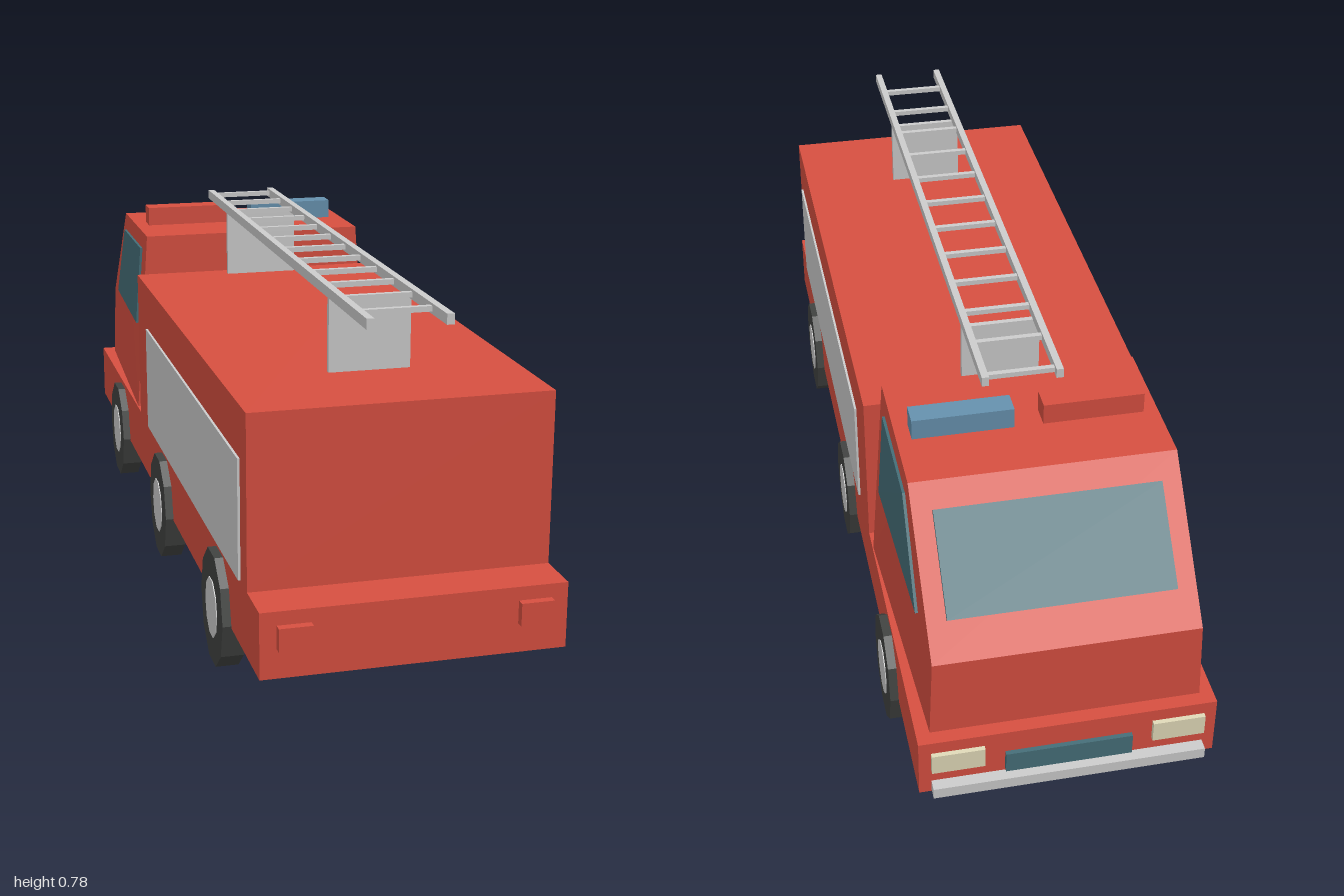
import * as THREE from 'three';

const mat = (color) => new THREE.MeshStandardMaterial({ color, flatShading: true });

// Solid between two x surfaces over a (z, y) outline; the outline runs clockwise seen from +x
function prism(outline, xLow, xHigh) {
  const low = outline.map(([z, y]) => [xLow(z, y), y, z]);
  const high = outline.map(([z, y]) => [xHigh(z, y), y, z]);
  const pos = [];
  const tri = (...corners) => corners.forEach((c) => pos.push(...c));
  outline.forEach((_, i) => {
    const j = (i + 1) % outline.length;
    tri(low[i], high[i], high[j]);
    tri(low[i], high[j], low[j]);
    if (i > 0 && j > 0) {
      tri(low[0], low[i], low[j]);
      tri(high[0], high[j], high[i]);
    }
  });
  const geo = new THREE.BufferGeometry();
  geo.setAttribute('position', new THREE.Float32BufferAttribute(pos, 3));
  geo.computeVertexNormals();
  return geo;
}

// Half width of the cab: leans in towards the roof and again towards the nose
function cabSide(z, y) {
  const nose = Math.max(0, (-0.33 * (y - 0.25) - 0.44 * (z + 0.375)) / 0.1914);
  return 0.303 - 0.073 * (y - 0.25) - 0.02 * nose;
}

export function createModel() {
  const model = new THREE.Group();
  const red = mat(0xd64f40), grey = mat(0xcccccc), glass = mat(0x456e78);
  const black = mat(0x414341), blue = mat(0x6691ae), cream = mat(0xe0d9b8);

  const add = (name, geo, material, parent = model) => {
    const mesh = new THREE.Mesh(geo, material);
    mesh.name = name;
    parent.add(mesh);
    return mesh;
  };
  // Box given by its limits on each axis
  const box = (name, material, [x0, x1], [y0, y1], [z0, z1], parent) => {
    const mesh = add(name, new THREE.BoxGeometry(x1 - x0, y1 - y0, z1 - z0), material, parent);
    mesh.position.set((x0 + x1) / 2, (y0 + y1) / 2, (z0 + z1) / 2);
    return mesh;
  };
  const span = (side, a, b) => (side > 0 ? [a, b] : [-b, -a]);

  // Chassis and equipment body
  box('chassis', red, [-0.305, 0.305], [0.115, 0.25], [-0.975, 0.98]);
  box('equipmentBody', red, [-0.305, 0.305], [0.25, 0.605], [-0.325, 0.88]);

  // Cab with sloping front
  const cabOutline = [[-0.375, 0.25], [-0.375, 0.69], [-0.705, 0.69], [-0.945, 0.43], [-0.945, 0.25]];
  add('cab', prism(cabOutline, (z, y) => -cabSide(z, y), cabSide), red);

  // Windscreen lying on the slope
  const windscreen = add('windscreen', new THREE.BoxGeometry(0.46, 0.012, 0.214), glass);
  windscreen.position.set(0, 0.57, -0.818);
  windscreen.rotation.x = -Math.atan2(0.26, 0.24);

  // Parts on both sides
  const windowOutline = [[-0.435, 0.455], [-0.43, 0.65], [-0.685, 0.65], [-0.82, 0.455]];
  for (const side of [1, -1]) {
    const inner = (z, y) => side * (cabSide(z, y) - 0.01);
    const outer = (z, y) => side * (cabSide(z, y) + 0.006);
    add('sideWindow', side > 0 ? prism(windowOutline, inner, outer) : prism(windowOutline, outer, inner), glass);
    box('sidePanel', grey, span(side, 0.3, 0.31), [0.253, 0.5], [-0.19, 0.825]);
    box('tailLight', red, span(side, 0.205, 0.272), [0.175, 0.222], [0.975, 0.997]);
    box('headlight', cream, span(side, 0.172, 0.28), [0.175, 0.222], [-0.985, -0.97]);
    box('roofBeacon', side > 0 ? blue : red, span(side, 0.03, 0.24), [0.685, 0.735], [-0.57, -0.52]);
  }

  // Grille and bumper
  box('grille', glass, [-0.13, 0.13], [0.15, 0.198], [-0.985, -0.97]);
  box('bumper', grey, [-0.28, 0.28], [0.12, 0.145], [-1, -0.97]);

  // Wheels: ten-sided tyres standing on a flat, with hubs
  const disc = (radius, width) => new THREE.CylinderGeometry(radius, radius, width, 10)
    .rotateZ(Math.PI / 2).scale(1, 1, 0.845);
  for (const z of [-0.615, 0.007, 0.632]) {
    for (const side of [1, -1]) {
      const wheel = new THREE.Group();
      wheel.name = 'wheel';
      wheel.position.set(side * 0.299, 0.119, z);
      add('tyre', disc(0.125, 0.048), black, wheel);
      add('hub', disc(0.0645, 0.012), grey, wheel).position.x = side * 0.02;
      model.add(wheel);
    }
  }

  // Roof ladder on two upright plates
  const ladder = new THREE.Group();
  ladder.name = 'ladder';
  model.add(ladder);
  for (const side of [1, -1]) {
    box('ladderRail', grey, span(side, 0.07, 0.085), [0.756, 0.777], [-0.51, 0.91], ladder);
  }
  for (let i = 0; i < 12; i++) {
    const z = -0.49 + i * 0.119;
    box('ladderRung', grey, [-0.075, 0.075], [0.761, 0.772], [z - 0.006, z + 0.006], ladder);
  }
  for (const z of [-0.288, 0.648]) {
    box('ladderSupport', grey, [-0.085, 0.085], [0.6, 0.758], [z - 0.006, z + 0.006], ladder);
  }

  return model;
}
